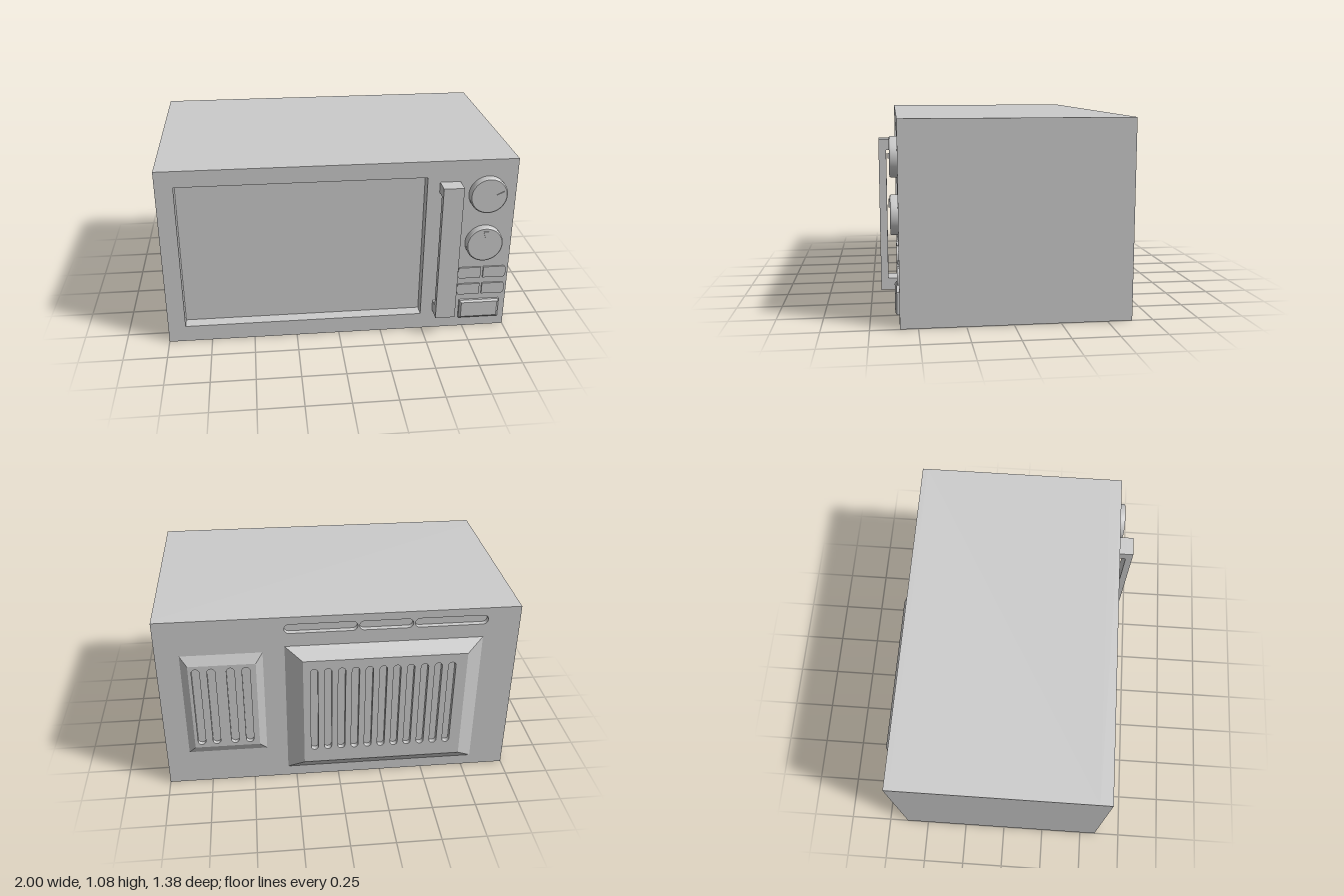
import * as THREE from 'three';

const material = new THREE.MeshStandardMaterial({ color: 0xcccccc });
const FRONT = 0.595, BACK = -0.635, HEIGHT = 1.08;

function add(parent, name, geometry) {
  const mesh = new THREE.Mesh(geometry, material);
  mesh.name = name;
  parent.add(mesh);
  return mesh;
}

// Box given by its two opposite corners
function box(parent, name, x0, x1, y0, y1, z0, z1) {
  const mesh = add(parent, name, new THREE.BoxGeometry(x1 - x0, y1 - y0, z1 - z0));
  mesh.position.set((x0 + x1) / 2, (y0 + y1) / 2, (z0 + z1) / 2);
  return mesh;
}

function polygon(points, Type = THREE.Shape) {
  return new Type(points.map(([x, y]) => new THREE.Vector2(x, y)));
}

const rect = (x0, x1, y0, y1) => [[x0, y0], [x1, y0], [x1, y1], [x0, y1]];

// Slot hole with round ends, along whichever side is longer
function slot(x0, x1, y0, y1) {
  const path = new THREE.Path();
  const r = Math.min(x1 - x0, y1 - y0) / 2;
  if (x1 - x0 > y1 - y0) {
    path.absarc(x1 - r, y0 + r, r, -Math.PI / 2, Math.PI / 2);
    path.absarc(x0 + r, y0 + r, r, Math.PI / 2, Math.PI * 1.5);
  } else {
    path.absarc(x0 + r, y1 - r, r, 0, Math.PI);
    path.absarc(x0 + r, y0 + r, r, Math.PI, Math.PI * 2);
  }
  path.closePath();
  return path;
}

// Flat plate with holes, between two depths
function plate(parent, name, points, holes, z0, z1) {
  const shape = polygon(points);
  shape.holes.push(...holes);
  const geometry = new THREE.ExtrudeGeometry(shape, { depth: z1 - z0, bevelEnabled: false, curveSegments: 8 });
  add(parent, name, geometry).position.z = z0;
}

// Four sloping sides between a base rectangle and a smaller one at another depth
function slopes(parent, name, base, zBase, top, zTop) {
  const a = base.map(([x, y]) => [x, y, zBase]);
  const b = top.map(([x, y]) => [x, y, zTop]);
  const positions = [];
  for (let i = 0; i < 4; i++) {
    const j = (i + 1) % 4;
    const quad = zTop > zBase
      ? [a[i], a[j], b[j], a[i], b[j], b[i]]
      : [a[i], b[j], a[j], a[i], b[i], b[j]];
    positions.push(...quad.flat());
  }
  const geometry = new THREE.BufferGeometry();
  geometry.setAttribute('position', new THREE.Float32BufferAttribute(positions, 3));
  geometry.computeVertexNormals();
  add(parent, name, geometry);
}

// Raised rear cover with upright slots
function ventCover(parent, name, base, top, zTop, depth, slotXs, width, y0, y1) {
  const group = new THREE.Group();
  group.name = name;
  parent.add(group);
  slopes(group, name + 'Slopes', rect(...base), BACK, rect(...top), zTop);
  const holes = slotXs.map((x) => slot(x - width / 2, x + width / 2, y0, y1));
  plate(group, name + 'Grille', rect(...top), holes, zTop, zTop + depth);
  box(group, name + 'SlotFloor', ...top, zTop + depth, BACK + 0.02);
}

// Dial with a softened rim and a small pointer on its face
function dial(parent, name, x, y, angle) {
  const group = new THREE.Group();
  group.name = name;
  group.position.set(x, y, FRONT);
  parent.add(group);
  const profile = [[0.107, 0], [0.107, 0.032], [0.105, 0.037], [0.1, 0.04]];
  const side = new THREE.LatheGeometry(profile.map((p) => new THREE.Vector2(...p)), 48);
  add(group, name + 'Rim', side).rotation.x = Math.PI / 2;
  add(group, name + 'Face', new THREE.CircleGeometry(0.1, 48)).position.z = 0.04;
  const pointer = polygon([[0.04, 0], [0.085, -0.014], [0.085, 0.014]]);
  const mark = add(group, name + 'Pointer',
    new THREE.ExtrudeGeometry(pointer, { depth: 0.01, bevelEnabled: false }));
  mark.position.z = 0.036;
  mark.rotation.z = angle;
}

// Push button whose outer end is gently curved; side is -1 for the inner column
function keyShape(x0, x1, y0, y1, side) {
  const shape = new THREE.Shape();
  const outer = side < 0 ? x0 : x1, inner = side < 0 ? x1 : x0;
  const bend = outer - side * 0.014;
  shape.moveTo(inner, y0);
  shape.lineTo(bend, y0);
  shape.quadraticCurveTo(outer, y0, outer, (y0 + y1) / 2);
  shape.quadraticCurveTo(outer, y1, bend, y1);
  shape.lineTo(inner, y1);
  shape.closePath();
  return shape;
}

export function createModel() {
  const model = new THREE.Group();
  model.name = 'microwaveOven';
  const outline = rect(-1, 1, 0, HEIGHT);

  // Cabinet: solid core, front with recessed window, back with air slots
  const body = new THREE.Group();
  body.name = 'cabinet';
  model.add(body);
  const windowHole = polygon(rect(-0.9, 0.49, 0.1, 0.985), THREE.Path);
  plate(body, 'frontFrame', outline, [windowHole], FRONT - 0.07, FRONT);
  box(body, 'cabinetCore', -1, 1, 0, HEIGHT, BACK + 0.03, FRONT - 0.07);
  const airSlots = [[-0.1, 0.3], [-0.405, -0.11], [-0.82, -0.415]]
    .map(([x0, x1]) => slot(x0, x1, 0.98, 1.035));
  plate(body, 'backPanel', outline, airSlots, BACK, BACK + 0.03);

  // Rear vent covers
  ventCover(model, 'largeVent', [-0.8, 0.3, 0.065, 0.9], [-0.71, 0.205, 0.135, 0.83], -0.69, 0.03,
    Array.from({ length: 11 }, (_, i) => 0.144 - i * 0.077), 0.042, 0.223, 0.777);
  ventCover(model, 'smallVent', [0.42, 0.87, 0.215, 0.87], [0.46, 0.83, 0.265, 0.815], -0.66, 0.03,
    [0.79, 0.705, 0.6, 0.515], 0.044, 0.285, 0.795);

  // Door handle
  const handle = new THREE.Group();
  handle.name = 'doorHandle';
  model.add(handle);
  box(handle, 'handleBar', 0.56, 0.675, 0.125, 0.955, 0.65, 0.69);
  box(handle, 'handleLowerPost', 0.56, 0.675, 0.125, 0.19, FRONT, 0.65);
  box(handle, 'handleUpperPost', 0.56, 0.675, 0.895, 0.955, FRONT, 0.65);

  // Controls
  dial(model, 'upperDial', 0.835, 0.875, 0.17);
  dial(model, 'lowerDial', 0.835, 0.57, Math.PI / 2);
  for (const y of [0.225, 0.335]) {
    for (const [x0, x1, side] of [[0.7, 0.835, -1], [0.85, 0.985, 1]]) {
      const key = new THREE.ExtrudeGeometry(keyShape(x0, x1, y, y + 0.07, side),
        { depth: 0.01, bevelEnabled: false, curveSegments: 6 });
      add(model, 'pushButton', key).position.z = FRONT;
    }
  }

  // Door release button with bevelled edges
  box(model, 'releaseButtonBase', 0.72, 0.96, 0.065, 0.185, FRONT, 0.608);
  slopes(model, 'releaseButtonBevel', rect(0.72, 0.96, 0.065, 0.185), 0.608,
    rect(0.732, 0.948, 0.077, 0.173), 0.617);
  box(model, 'releaseButtonFace', 0.732, 0.948, 0.077, 0.173, 0.6, 0.617);
  return model;
}
